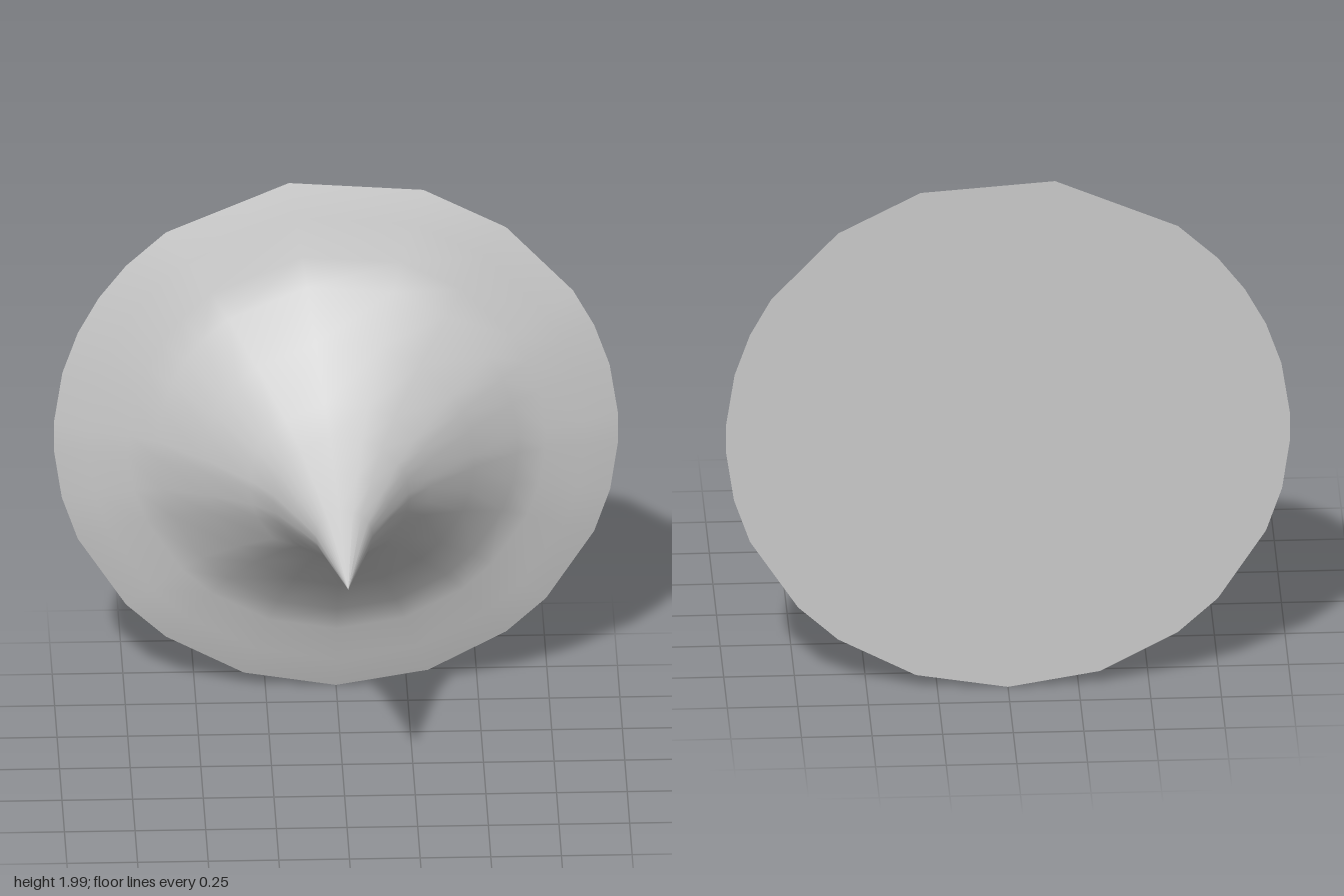
import * as THREE from 'three';

// Uneven corner angles of the rim, in degrees, counter-clockwise seen from the front
const RIM = [
  -90, -71, -53, -42, -24, -14, -3, 3, 14.5, 24, 33, 53, 72,
  99.6, 127, 138, 147, 156, 165.5, 177, 183, 194, 204, 222, 233, 251,
].map(THREE.MathUtils.degToRad);

// Flare profile from rim to tip: [radius, z]
const PROFILE = [
  [1, -0.63], [0.88, -0.59], [0.74, -0.555], [0.64, -0.51], [0.48, -0.38],
  [0.32, -0.22], [0.24, -0.11], [0.17, 0.04], [0.1, 0.2], [0, 0.62],
];
const CENTRE_Y = 1;

// Rings of the profile joined into one smooth skin
function flareGeometry() {
  const n = RIM.length;
  const positions = [];
  const index = [];
  PROFILE.forEach(([r, z], k) => {
    RIM.forEach((a, i) => {
      positions.push(r * Math.cos(a), r * Math.sin(a), z);
      if (k === PROFILE.length - 1) return;
      const j = (i + 1) % n;
      const outer = k * n, inner = outer + n;
      index.push(outer + i, outer + j, inner + j);
      // the last band closes on the tip with single triangles
      if (k < PROFILE.length - 2) index.push(outer + i, inner + j, inner + i);
    });
  });
  // the tip triangles use the inner corner j, so every facet reaches the point
  const geometry = new THREE.BufferGeometry();
  geometry.setAttribute('position', new THREE.Float32BufferAttribute(positions, 3));
  geometry.setIndex(index);
  geometry.computeVertexNormals();
  return geometry;
}

// Flat disc with the same outline, turned to face the back
function backGeometry() {
  const outline = RIM.map((a) => new THREE.Vector2(-Math.cos(a), Math.sin(a)));
  return new THREE.ShapeGeometry(new THREE.Shape(outline))
    .rotateY(Math.PI)
    .translate(0, 0, PROFILE[0][1]);
}

export function createModel() {
  const group = new THREE.Group();
  group.name = 'flaredSpike';
  const material = new THREE.MeshStandardMaterial({ color: 0xcccccc });

  const parts = { flare: flareGeometry(), backDisc: backGeometry() };
  for (const [name, geometry] of Object.entries(parts)) {
    const mesh = new THREE.Mesh(geometry, material);
    mesh.name = name;
    mesh.position.y = CENTRE_Y;
    group.add(mesh);
  }
  return group;
}
